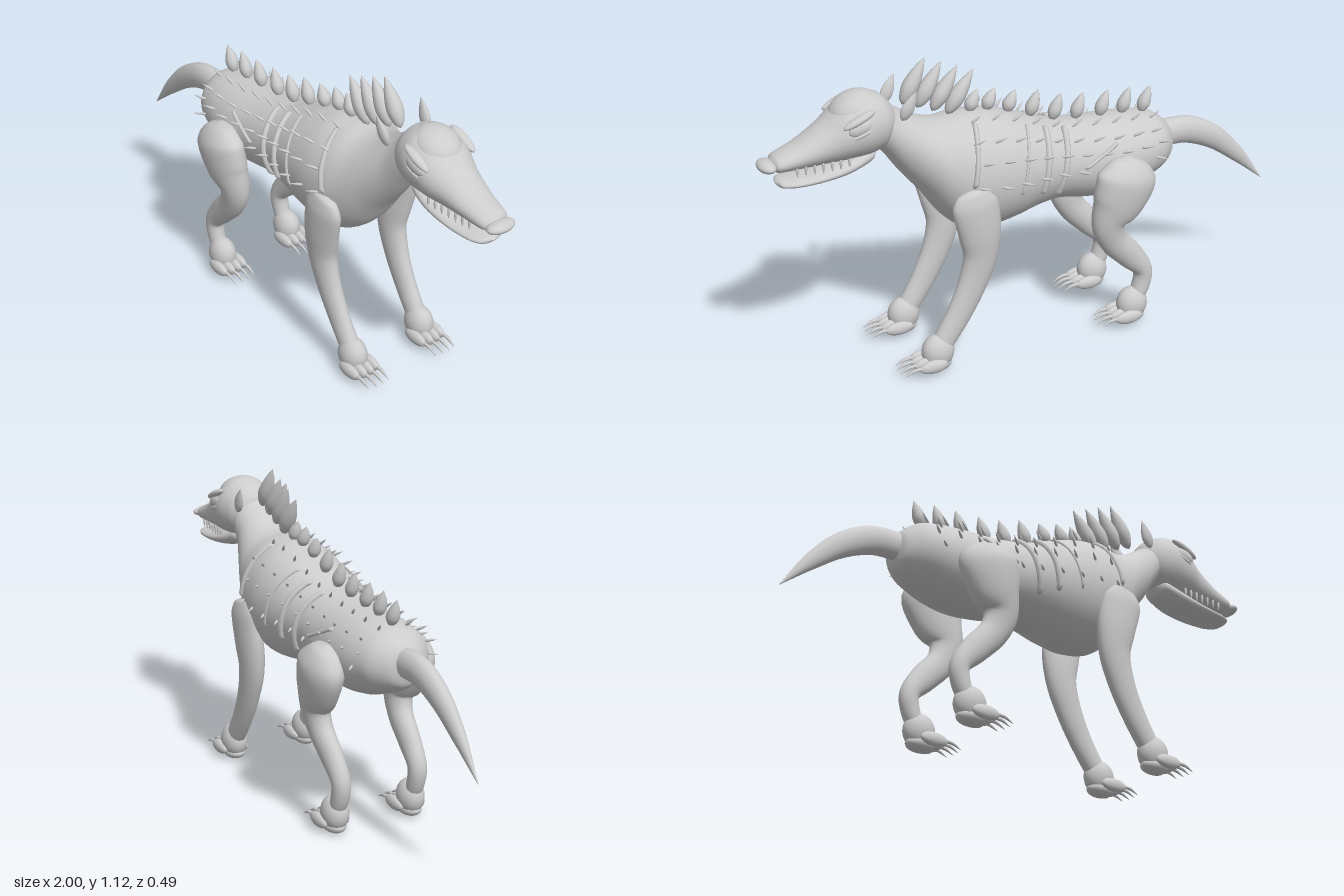
import * as THREE from 'three';

const V = (x, y, z = 0) => new THREE.Vector3(x, y, z);

export function createModel() {
  const model = new THREE.Group();
  const grey = new THREE.MeshStandardMaterial({ color: 0xcccccc });
  grey.name = 'grey hide';

  const add = (name, geometry, parent = model) => {
    const mesh = new THREE.Mesh(geometry, grey);
    mesh.name = name;
    parent.add(mesh);
    return mesh;
  };
  const group = (name) => {
    const g = new THREE.Group();
    g.name = name;
    model.add(g);
    return g;
  };

  // Smooth skin over elliptical sections [x, y, z, radius in the side plane, radius across]
  const curves = (rows) => [
    new THREE.CatmullRomCurve3(rows.map((r) => V(r[0], r[1], r[2]))),
    new THREE.CatmullRomCurve3(rows.map((r) => V(r[3], r[4], 0))),
  ];
  function loft(rows, upright = false, steps = 40, sides = 28) {
    const [path, size] = curves(rows);
    const pos = [], index = [];
    for (let i = 0; i <= steps; i++) {
      const c = path.getPoint(i / steps), s = size.getPoint(i / steps), t = path.getTangent(i / steps);
      const n = upright ? V(0, 1) : V(-t.y, t.x).normalize();
      const ra = Math.max(s.x, 0.0005), rb = Math.max(s.y, 0.0005);
      for (let j = 0; j < sides; j++) {
        const a = (j / sides) * Math.PI * 2;
        pos.push(c.x + n.x * ra * Math.cos(a), c.y + n.y * ra * Math.cos(a), c.z + rb * Math.sin(a));
        if (i < steps) {
          const k = i * sides, m = (j + 1) % sides;
          index.push(k + j, k + m, k + sides + j, k + m, k + sides + m, k + sides + j);
        }
      }
    }
    const g = new THREE.BufferGeometry();
    g.setAttribute('position', new THREE.Float32BufferAttribute(pos, 3));
    g.setIndex(index);
    g.computeVertexNormals();
    return g;
  }

  const ball = (name, p, r, parent, tilt = 0) => {
    const m = add(name, new THREE.SphereGeometry(1, 24, 16), parent);
    m.position.copy(p);
    m.scale.set(...r);
    m.rotation.z = tilt;
  };

  // Leaf-shaped spike from base to tip
  const leaf = new THREE.LatheGeometry(
    new THREE.SplineCurve([[0, 0], [0.6, 0.1], [1, 0.35], [0.7, 0.68], [0, 1]]
      .map((p) => new THREE.Vector2(...p))).getPoints(14).map((p) => new THREE.Vector2(Math.max(p.x, 0), p.y)), 12);
  const spike = (name, base, tip, r, parent, rz = r) => {
    const m = add(name, leaf, parent), d = tip.clone().sub(base);
    m.position.copy(base);
    m.scale.set(r, d.length(), rz);
    m.quaternion.setFromUnitVectors(V(0, 1), d.normalize());
  };

  // Body and neck
  const bodyRows = [
    [-0.575, 0.645, 0, 0.001, 0.001], [-0.56, 0.645, 0, 0.065, 0.065], [-0.5, 0.65, 0, 0.11, 0.125],
    [-0.4, 0.64, 0, 0.138, 0.152], [-0.3, 0.635, 0, 0.15, 0.158], [-0.2, 0.642, 0, 0.15, 0.152],
    [-0.1, 0.658, 0, 0.148, 0.152], [0, 0.67, 0, 0.168, 0.165], [0.1, 0.676, 0, 0.2, 0.182],
    [0.2, 0.682, 0, 0.218, 0.19], [0.28, 0.69, 0, 0.212, 0.184], [0.35, 0.715, 0, 0.182, 0.16],
    [0.42, 0.773, 0, 0.142, 0.13], [0.5, 0.845, 0, 0.115, 0.095], [0.57, 0.915, 0, 0.09, 0.08],
    [0.62, 0.93, 0, 0.03, 0.03],
  ];
  add('body', loft(bodyRows, true, 80, 40));
  const [spine, girth] = curves(bodyRows);
  // Point on the hide at length x and angle a from the top; lift moves it outward
  const hide = (x, a, side = 1, lift = 0) => {
    let lo = 0, hi = 1;
    for (let i = 0; i < 30; i++) {
      const mid = (lo + hi) / 2;
      if (spine.getPoint(mid).x < x) lo = mid; else hi = mid;
    }
    const c = spine.getPoint(lo), s = girth.getPoint(lo);
    return V(x, c.y + (s.x + lift) * Math.cos(a), side * (s.y + lift) * Math.sin(a));
  };

  // Tail
  add('tail', loft([
    [-0.5, 0.655, 0, 0.045, 0.04], [-0.57, 0.662, 0, 0.052, 0.042], [-0.66, 0.655, 0, 0.052, 0.039],
    [-0.77, 0.605, 0, 0.045, 0.033], [-0.88, 0.515, 0, 0.03, 0.022], [-1, 0.39, 0, 0.001, 0.001],
  ]));

  // Head and jaws
  const head = group('head');
  add('skull and snout', loft([
    [0.512, 0.93, 0, 0.001, 0.001], [0.525, 0.93, 0, 0.055, 0.06], [0.565, 0.932, 0, 0.096, 0.097],
    [0.63, 0.932, 0, 0.112, 0.115], [0.7, 0.916, 0, 0.1, 0.109], [0.77, 0.888, 0, 0.073, 0.086],
    [0.86, 0.86, 0, 0.046, 0.068], [0.94, 0.844, 0, 0.029, 0.054], [0.965, 0.842, 0, 0.001, 0.001],
  ], true, 50, 32), head);
  add('lower jaw', loft([
    [0.58, 0.84, 0, 0.001, 0.001], [0.61, 0.828, 0, 0.032, 0.062], [0.7, 0.797, 0, 0.029, 0.076],
    [0.8, 0.779, 0, 0.022, 0.074], [0.89, 0.773, 0, 0.018, 0.064], [0.93, 0.773, 0, 0.014, 0.045],
    [0.945, 0.775, 0, 0.001, 0.001],
  ], true), head);
  ball('nose', V(0.967, 0.839), [0.032, 0.02, 0.056], head);
  ball('forehead', V(0.655, 0.985), [0.09, 0.06, 0.083], head, -0.35);
  for (const s of [1, -1]) {
    ball('eye', V(0.668, 0.952, s * 0.1), [0.045, 0.025, 0.017], head, -0.3);
    ball('brow', V(0.672, 0.982, s * 0.099), [0.062, 0.014, 0.019], head, -0.4);
    ball('lower eyelid', V(0.66, 0.933, s * 0.105), [0.042, 0.009, 0.012], head, -0.35);
    spike('ear', V(0.515, 0.945, s * 0.085), V(0.465, 1.045, s * 0.096), 0.024, head, 0.014);
    for (let i = 0; i < 7; i++) {
      const x = 0.7 + i * 0.03, z = s * (0.066 - i * 0.0025);
      spike('tooth', V(x, 0.845, z), V(x, 0.797, z), 0.005, head);
    }
  }

  // Legs and paws
  const foreleg = [
    [0.3, 0.685, 0.17, 0.001, 0.001], [0.297, 0.67, 0.172, 0.058, 0.022], [0.29, 0.62, 0.172, 0.086, 0.036],
    [0.272, 0.52, 0.165, 0.08, 0.044], [0.268, 0.42, 0.158, 0.064, 0.042], [0.3, 0.31, 0.155, 0.054, 0.037],
    [0.355, 0.2, 0.154, 0.047, 0.033], [0.42, 0.1, 0.153, 0.04, 0.033], [0.435, 0.075, 0.153, 0.03, 0.03],
  ];
  const hindleg = [
    [-0.315, 0.682, 0.165, 0.001, 0.001], [-0.312, 0.665, 0.17, 0.065, 0.04], [-0.3, 0.6, 0.18, 0.118, 0.066],
    [-0.268, 0.51, 0.177, 0.102, 0.062], [-0.238, 0.435, 0.168, 0.066, 0.05], [-0.262, 0.36, 0.161, 0.054, 0.042],
    [-0.335, 0.28, 0.156, 0.05, 0.037], [-0.393, 0.205, 0.153, 0.036, 0.034], [-0.385, 0.14, 0.153, 0.034, 0.032],
    [-0.36, 0.09, 0.153, 0.03, 0.03],
  ];
  for (const [name, rows, px] of [['front', foreleg, 0.435], ['hind', hindleg, -0.35]]) {
    for (const s of [1, -1]) {
      const leg = group(`${name} ${s > 0 ? 'right' : 'left'} leg`);
      add('leg', loft(rows.map((r) => [r[0], r[1], s * r[2], r[3], r[4]])), leg);
      ball('paw', V(px, 0.078, s * 0.153), [0.06, 0.065, 0.048], leg);
      ball('pad', V(px + 0.005, 0.031, s * 0.153), [0.055, 0.027, 0.04], leg);
      for (let i = 0; i < 4; i++) {
        const z = s * (0.109 + i * 0.0293), f = i % 3 ? 0.008 : 0;
        ball('toe', V(px + 0.035 + f, 0.045, z), [0.054, 0.025, 0.018], leg);
        add('claw', loft([
          [px + 0.075, 0.048, z, 0.007, 0.007], [px + 0.11 + f, 0.046, z, 0.006, 0.006],
          [px + 0.145 + f, 0.03, z, 0.001, 0.001],
        ], false, 8, 8), leg);
      }
    }
  }

  // Spikes down the back and tall mane on the neck
  const back = group('back spikes');
  for (const x of [-0.455, -0.37, -0.28, -0.18, -0.09, 0, 0.09, 0.17, 0.235]) {
    const p = hide(x, 0, 1, -0.008);
    spike('back spike', p, p.clone().add(V(-0.04, x > 0.05 ? 0.08 : 0.1)), 0.024, back);
  }
  const mane = group('mane');
  for (let i = 0; i < 4; i++) {
    const x = 0.315 + i * 0.055;
    spike('mane spike', V(x, 0.9 + i * 0.022), V(x - 0.105 + i * 0.005, 1.05 + i * 0.025), 0.029, mane);
  }

  // Rows of quills, raised ribs and a scar on each flank
  const quills = group('quills'), ribs = group('ribs');
  for (const s of [1, -1]) {
    [0.4, 0.85, 1.2, 1.6].forEach((a, row) => {
      for (let i = 0; i < 10; i++) {
        const x = -0.46 + i * 0.08 + (row % 2) * 0.02;
        const tip = hide(x, a, s, 0.03);
        tip.x -= 0.04;
        spike('quill', hide(x, a, s, -0.006), tip, 0.005, quills);
      }
    });
    const ridge = (name, x0, x1, a0, a1, r) => {
      const pts = [];
      for (let i = 0; i <= 16; i++) {
        const u = i / 16;
        pts.push(hide(x0 + (x1 - x0) * u, a0 + (a1 - a0) * u, s, i % 16 ? 0.002 : -r * 1.5));
      }
      add(name, new THREE.TubeGeometry(new THREE.CatmullRomCurve3(pts), 40, r, 8), ribs);
    };
    ridge('rib', -0.11, -0.045, 0.35, 2.2, 0.011);
    ridge('rib', -0.03, 0.025, 0.4, 2.0, 0.011);
    ridge('rib', 0.045, 0.115, 0.4, 1.85, 0.005);
    ridge('shoulder ridge', 0.245, 0.295, 0.4, 1.6, 0.009);
    ridge('scar', -0.29, -0.15, 0.95, 1.5, 0.007);
  }
  return model;
}
